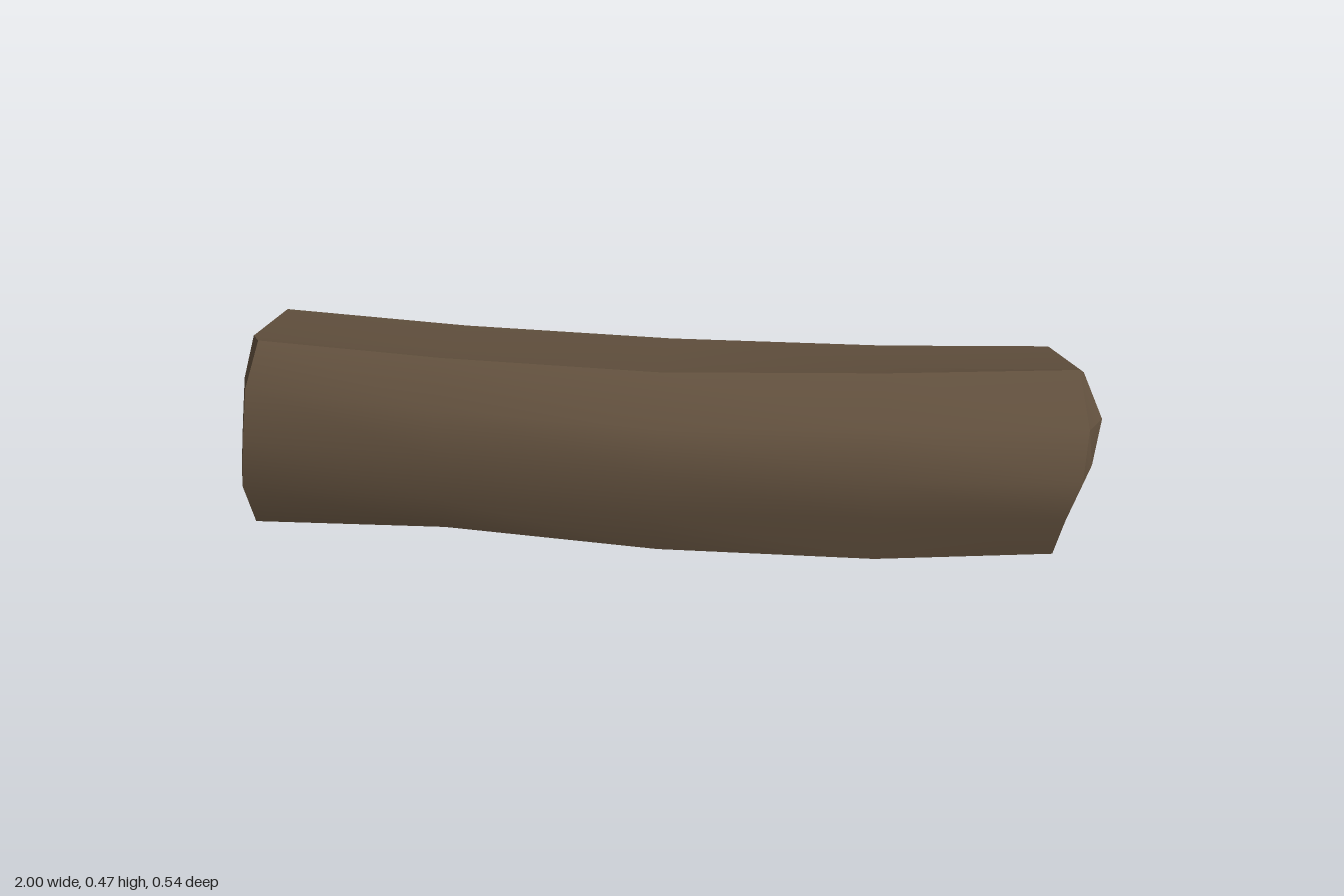
import * as THREE from 'three';
import { toCreasedNormals } from 'three/addons/utils/BufferGeometryUtils.js';

// Each cross-section runs [z, y] around the log as seen from +x:
// top front, four points down the rounded front, underside, back bottom, back middle, back top, top ridge
const SECTIONS = [
  [[.08, .455], [.155, .37], [.19, .25], [.2, .13], [.157, 0], [.1, .03], [-.23, .02], [-.237, .16], [-.272, .338], [0, .42]],
  [[.125, .457], [.21, .37], [.235, .255], [.23, .14], [.2, .042], [.12, .047], [-.1, .037], [-.16, .18], [-.2, .355], [.03, .422]],
  [[.16, .466], [.25, .375], [.272, .26], [.262, .15], [.235, .035], [.16, .035], [-.14, .038], [-.15, .2], [-.155, .37], [.05, .425]],
  [[.13, .471], [.21, .375], [.25, .26], [.235, .15], [.205, .016], [.12, .005], [-.17, .026], [-.18, .19], [-.19, .355], [.03, .425]],
  [[.08, .472], [.16, .365], [.205, .25], [.19, .14], [.155, .02], [.08, .05], [-.2, .035], [-.235, .18], [-.263, .33], [.01, .425]],
];

// x of every point per section; the two end cuts are uneven
const XS = [
  [-.93, -.95, -.96, -.972, -.965, -.965, -.955, -.962, -.96, -.965],
  -.5, 0, .5,
  [.93, .957, .95, .925, .91, .912, .905, .905, .9, .95],
];

// Raised creases on the two end cuts
const LEFT_CREASE = [[.995, .34, .07], [.98, .24, .11], [.945, .14, .09]];
const RIGHT_CREASE = [[-.98, .34, .06], [-.985, .24, .1], [-1, .13, .1]];

function buildMesh(name, triangles, material, angle) {
  const geometry = new THREE.BufferGeometry();
  geometry.setAttribute('position', new THREE.Float32BufferAttribute(triangles.flat(2), 3));
  const mesh = new THREE.Mesh(toCreasedNormals(geometry, angle), material);
  mesh.name = name;
  return mesh;
}

// Bevel strip behind the front edge, then a fan across the rest of the cut
function endCut(ring, crease, flip) {
  const k = [ring[9], ...crease, ring[5]];
  const tris = [];
  for (let j = 0; j < 4; j++) {
    tris.push([ring[j], ring[j + 1], k[j + 1]], [ring[j], k[j + 1], k[j]]);
  }
  const rim = [ring[8], ...k, ring[6]];
  for (let j = 0; j < rim.length - 1; j++) tris.push([ring[7], rim[j], rim[j + 1]]);
  return flip ? tris.map(([a, b, c]) => [a, c, b]) : tris;
}

export function createModel() {
  const group = new THREE.Group();
  group.name = 'curvedLog';
  const wood = new THREE.MeshStandardMaterial({ color: 0x655340 });
  wood.name = 'brown wood';

  const rings = SECTIONS.map((section, i) =>
    section.map(([z, y], j) => [Array.isArray(XS[i]) ? XS[i][j] : XS[i], y, z]));

  // Long curved body
  const body = [];
  for (let i = 0; i < rings.length - 1; i++) {
    for (let j = 0; j < 10; j++) {
      const n = (j + 1) % 10;
      const a = rings[i][j], b = rings[i][n], c = rings[i + 1][n], d = rings[i + 1][j];
      body.push([a, b, c], [a, c, d]);
    }
  }
  group.add(buildMesh('body', body, wood, 0.62));

  // Rough cut ends
  group.add(buildMesh('leftEnd', endCut(rings[4], LEFT_CREASE, false), wood, 0.4));
  group.add(buildMesh('rightEnd', endCut(rings[0], RIGHT_CREASE, true), wood, 0.4));
  return group;
}
